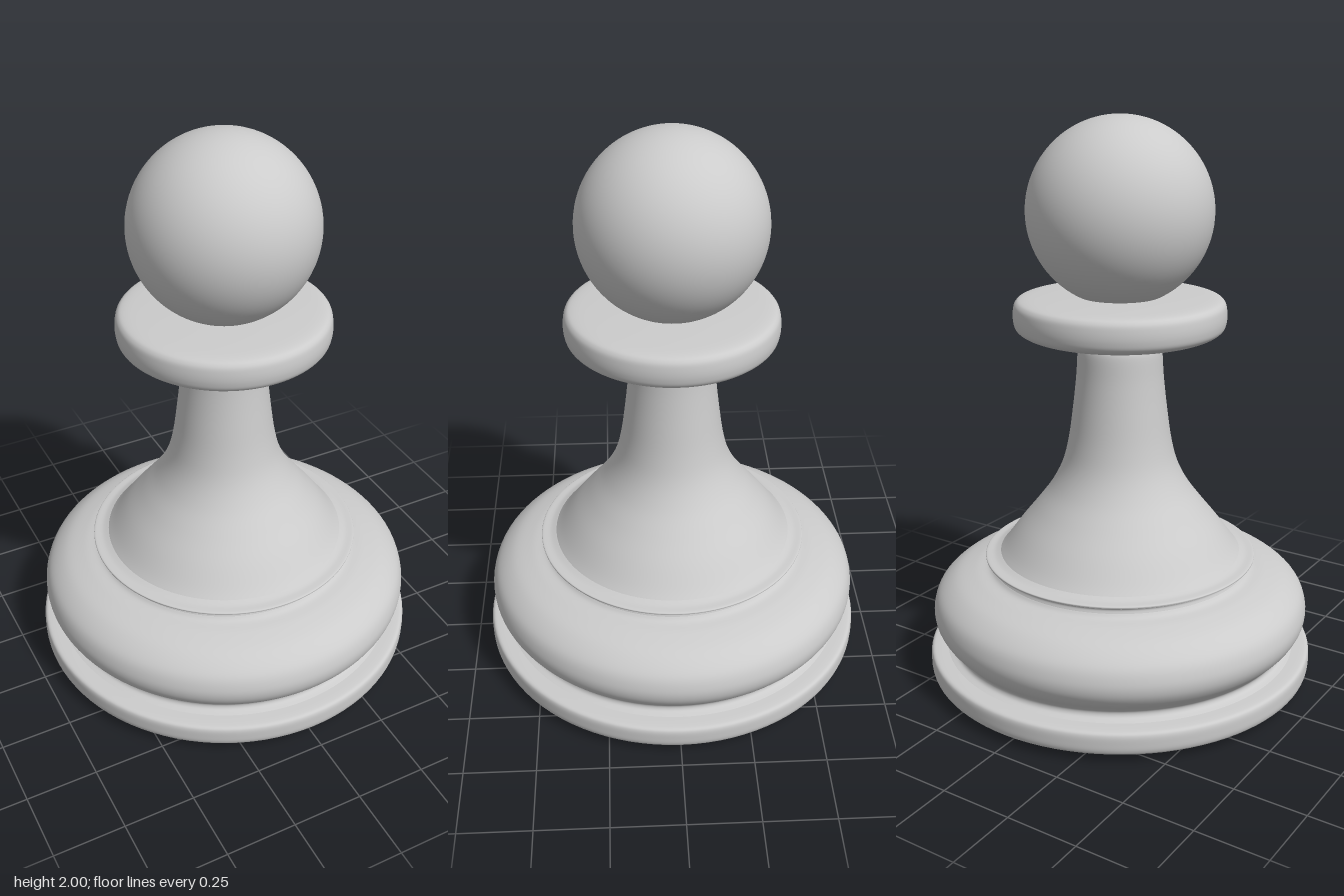
import * as THREE from 'three';

const SEGMENTS = 96;
const grey = new THREE.MeshStandardMaterial({ color: 0xcccccc });
const green = new THREE.MeshStandardMaterial({ color: 0x1f3d2c });

// Turned part: a smooth curve through [radius, height] points, spun about y
function turned(name, points, material = grey, steps = 6) {
  const curve = new THREE.SplineCurve(points.map(([r, y]) => new THREE.Vector2(r, y)));
  const profile = curve.getPoints((points.length - 1) * steps);
  const mesh = new THREE.Mesh(new THREE.LatheGeometry(profile, SEGMENTS), material);
  mesh.name = name;
  return mesh;
}

export function createModel() {
  const pawn = new THREE.Group();
  pawn.name = 'pawn';

  // Felt pad under the base
  const felt = new THREE.Mesh(new THREE.CylinderGeometry(0.615, 0.615, 0.03, SEGMENTS), green);
  felt.name = 'feltPad';
  felt.position.y = 0.015;
  pawn.add(felt);

  // Foot ring with rounded edges
  pawn.add(turned('footRing', [
    [0.6, 0.025], [0.66, 0.025], [0.685, 0.03], [0.694, 0.045], [0.696, 0.07],
    [0.695, 0.095], [0.688, 0.107], [0.67, 0.111], [0.635, 0.113],
  ]));

  // Groove above the foot ring, then the wide bulge
  pawn.add(turned('baseBulge', [
    [0.635, 0.113], [0.615, 0.122], [0.61, 0.138], [0.622, 0.155], [0.655, 0.19],
    [0.675, 0.23], [0.676, 0.275], [0.655, 0.325], [0.6, 0.37], [0.53, 0.395],
    [0.48, 0.405], [0.463, 0.418],
  ]));

  // Thin sharp-edged flange, underside and top
  pawn.add(turned('flangeUnderside', [[0.463, 0.418], [0.46, 0.43], [0.468, 0.441], [0.486, 0.447]]));
  pawn.add(turned('flangeTop', [[0.486, 0.447], [0.484, 0.454], [0.455, 0.457], [0.432, 0.465]]));

  // Flared stem narrowing to the neck
  pawn.add(turned('stem', [
    [0.432, 0.465], [0.41, 0.492], [0.36, 0.56], [0.3, 0.635], [0.245, 0.71],
    [0.205, 0.79], [0.182, 0.88], [0.165, 1.0], [0.153, 1.11], [0.147, 1.2],
    [0.139, 1.225],
  ]));

  // Collar disc under the head
  pawn.add(turned('collar', [
    [0.139, 1.225], [0.146, 1.236], [0.18, 1.245], [0.26, 1.253], [0.325, 1.264],
    [0.358, 1.282], [0.368, 1.31], [0.368, 1.345], [0.36, 1.372], [0.335, 1.385],
    [0.26, 1.391], [0.12, 1.396],
  ]));

  // Ball head
  const head = new THREE.Mesh(new THREE.SphereGeometry(0.32, SEGMENTS, 48), grey);
  head.name = 'head';
  head.position.y = 1.68;
  pawn.add(head);

  return pawn;
}
